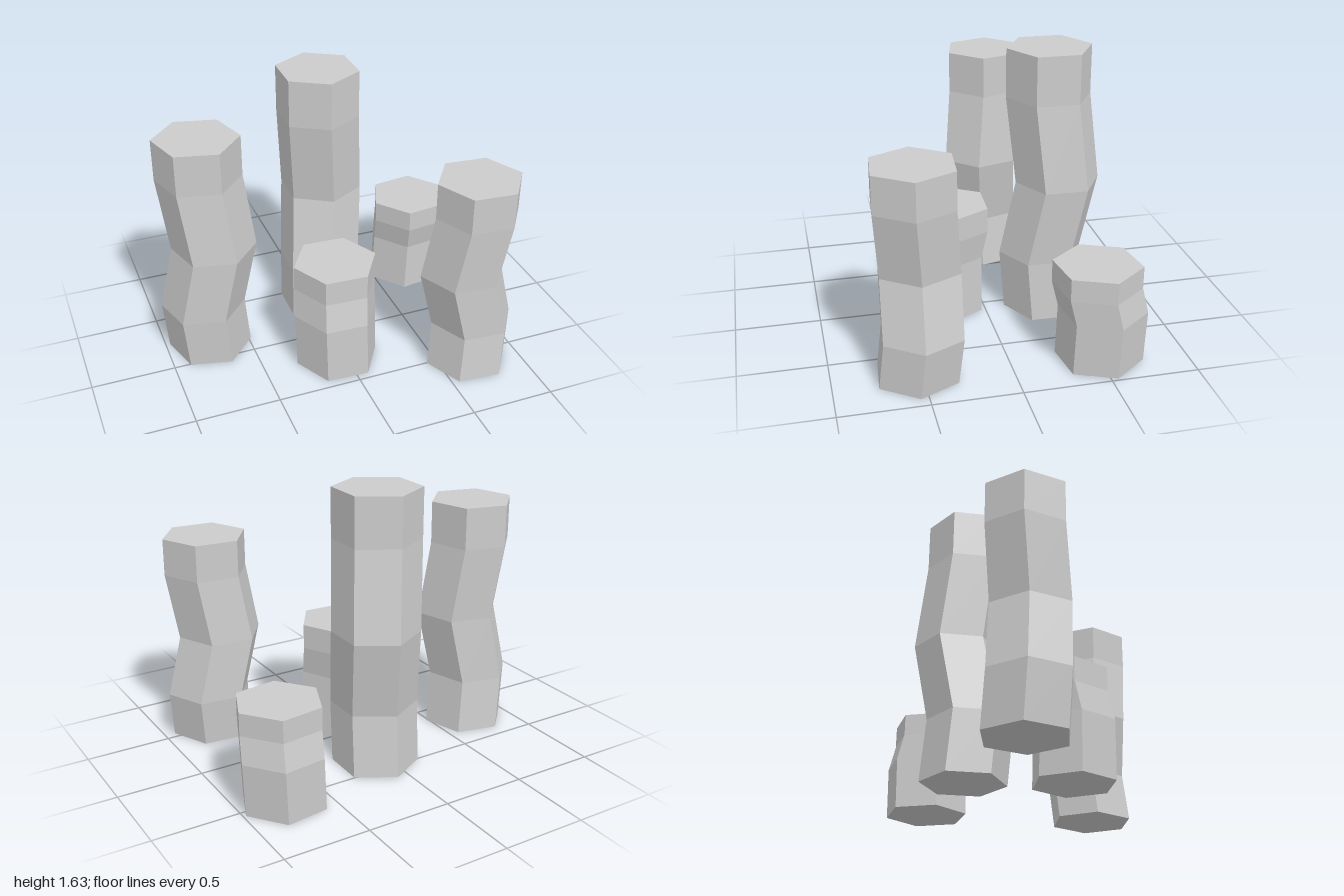
import * as THREE from 'three';

const RADIUS = 0.25;

// Hexagonal column whose rings [height, dx, dz] slide sideways; angle turns the first corner from +x towards +z
function bentColumn(name, x, z, angle, rings) {
  const n = rings.length - 1;
  const start = Math.PI / 2 - THREE.MathUtils.degToRad(angle);
  const geo = new THREE.CylinderGeometry(RADIUS, RADIUS, n, 6, n, false, start);
  const pos = geo.attributes.position;
  for (let i = 0; i < pos.count; i++) {
    const [y, dx, dz] = rings[Math.round(pos.getY(i) + n / 2)];
    pos.setXYZ(i, pos.getX(i) + dx, y, pos.getZ(i) + dz);
  }
  const flat = geo.toNonIndexed();
  flat.computeVertexNormals();
  const mesh = new THREE.Mesh(flat, new THREE.MeshStandardMaterial({ color: 0xcccccc, flatShading: true }));
  mesh.name = name;
  mesh.position.set(x, 0, z);
  return mesh;
}

// Tall columns bend twice, then rise straight to the top
const tallRings = (h, lower, middle) => [
  [0, 0, 0], [h * 0.225, ...lower], [h * 0.51, ...middle], [h * 0.825, 0, 0], [h, 0, 0],
];

// Short columns have one shifted lower half
const shortRings = (h, base, middle) => [
  [0, ...base], [h * 0.525, ...middle], [h * 0.78, 0, 0], [h, 0, 0],
];

export function createModel() {
  const group = new THREE.Group();
  group.name = 'hexagonalColumns';
  group.add(
    bentColumn('rightColumn', -0.73, -0.175, 13.5, tallRings(1.42, [-0.03, 0.015], [0.053, 0.04])),
    bentColumn('tallestColumn', 0.063, -0.373, 31, tallRings(1.635, [-0.006, 0.03], [0.037, -0.055])),
    bentColumn('frontLeftColumn', 0.688, 0.523, 5, tallRings(1.243, [0.027, -0.027], [-0.06, -0.03])),
    bentColumn('shortFrontColumn', -0.045, 0.2, 2.7, shortRings(0.676, [0, 0.035], [-0.01, 0.035])),
    bentColumn('shortBackColumn', 0.742, -0.478, -7.6, shortRings(0.592, [-0.005, -0.03], [0.009, -0.036])),
  );
  return group;
}
